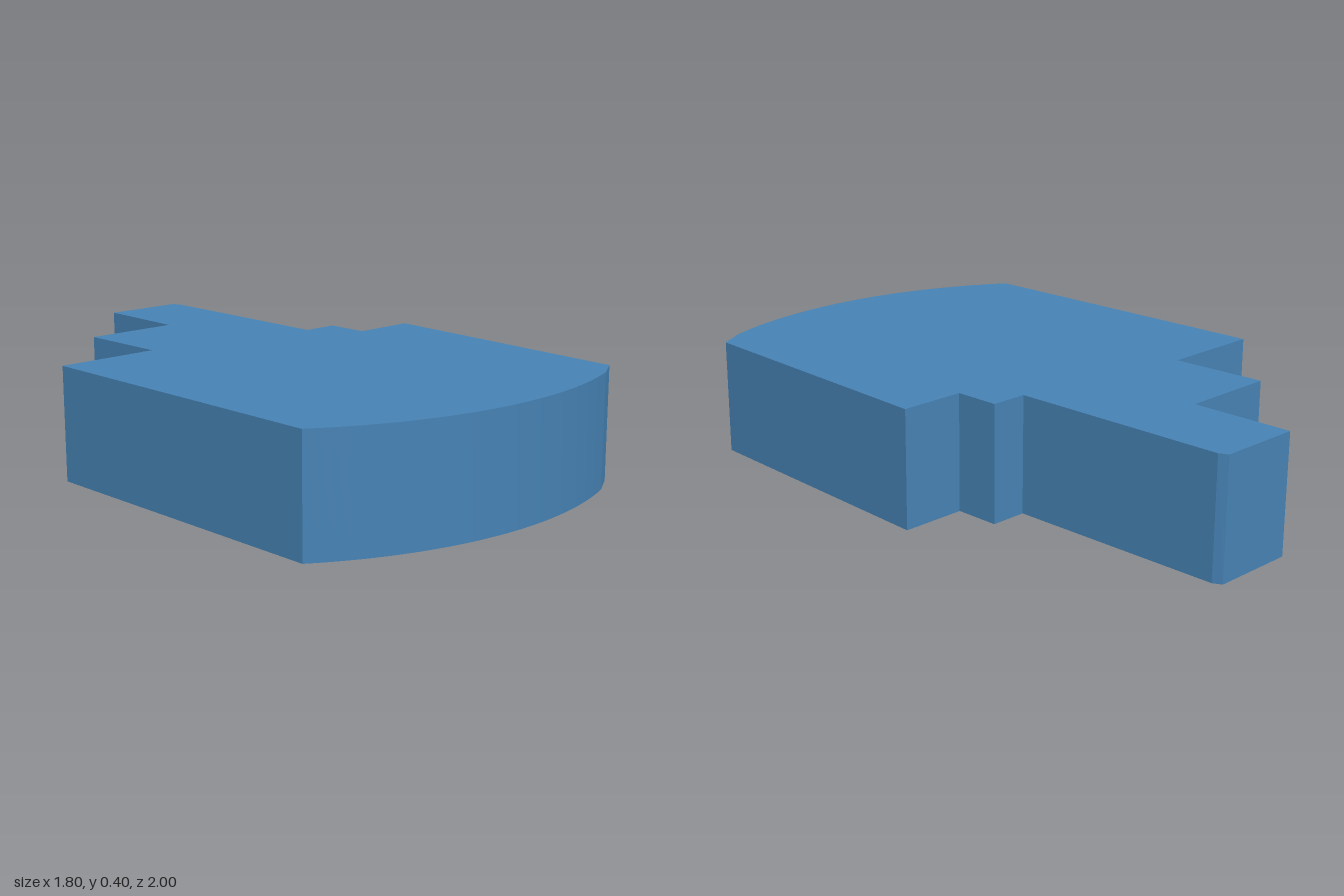
import * as THREE from 'three';
import { toCreasedNormals } from 'three/addons/utils/BufferGeometryUtils.js';

const HEIGHT = 0.395;

export function createModel() {
  const group = new THREE.Group();
  group.name = 'steppedBlock';

  // Plan outline as [x, z]; the shape is drawn with z negated and laid flat below
  const outline = [
    [-0.08, 0.995], [-0.9, 0.18],             // long straight wall
    [-0.64, -0.08], [-0.88, -0.31],           // stepped notches
    [-0.64, -0.55], [-0.885, -0.8],
    [-0.68, -1], [-0.65, -0.99],              // end of the narrow wing
    [-0.12, -0.46], [-0.03, -0.55],           // small steps
    [0.08, -0.44], [0.24, -0.6],
    [0.897, 0.135], [0.87, 0.24],             // slanted wall and short bevel
  ];
  const shape = new THREE.Shape();
  outline.forEach(([x, z], i) => (i ? shape.lineTo(x, -z) : shape.moveTo(x, -z)));

  // Bowed wall back to the start
  shape.absarc(-0.322, 0.286, 1.303, -0.4156, -1.384, true);

  const geometry = new THREE.ExtrudeGeometry(shape, {
    depth: HEIGHT, bevelEnabled: false, curveSegments: 14,
  });
  geometry.rotateX(-Math.PI / 2);

  const block = new THREE.Mesh(
    toCreasedNormals(geometry, Math.PI / 7),
    new THREE.MeshStandardMaterial({ color: 0x4682b4 }),
  );
  block.name = 'buildingBlock';
  group.add(block);
  return group;
}
